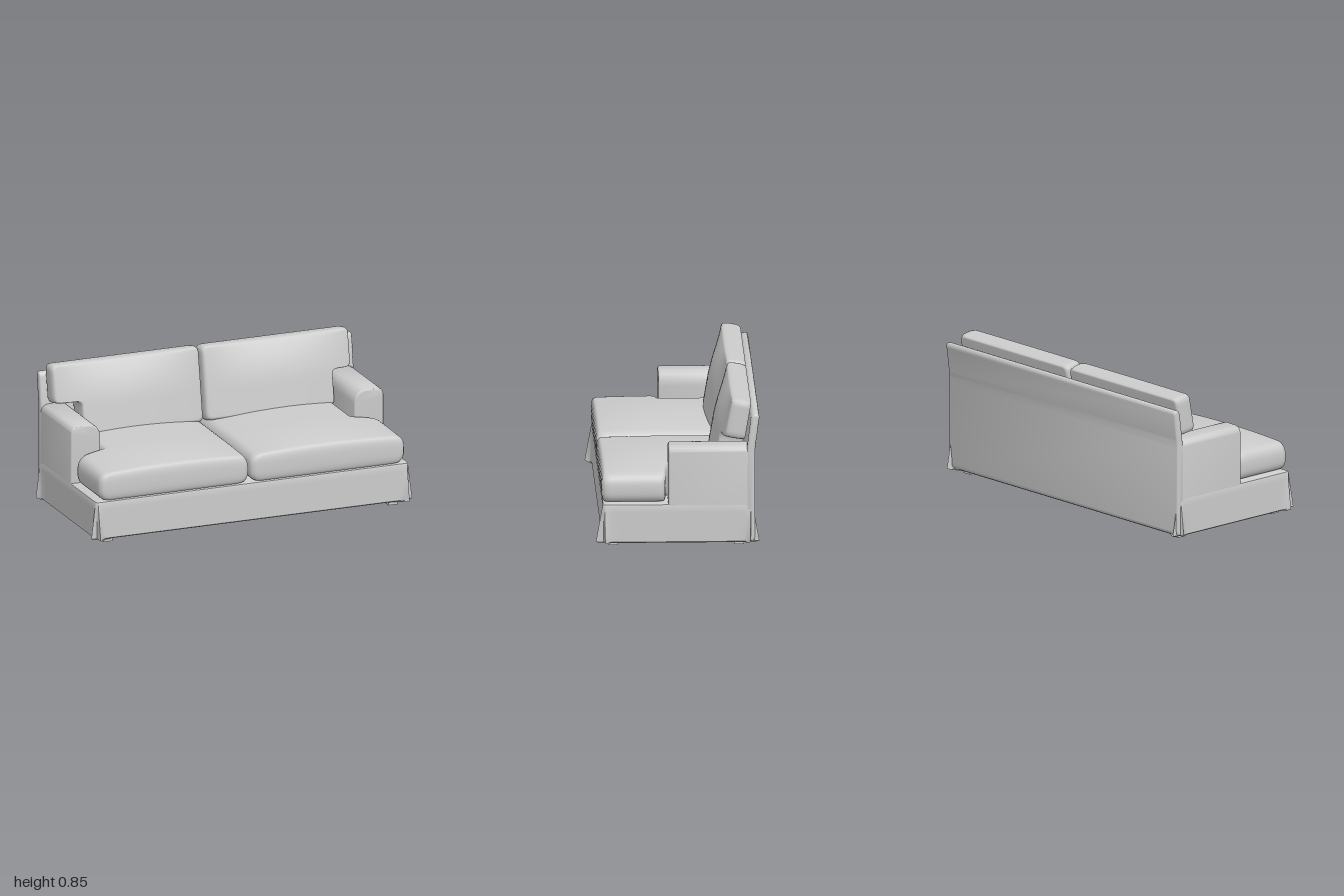
import * as THREE from 'three';
import { toCreasedNormals } from 'three/addons/utils/BufferGeometryUtils.js';

const material = new THREE.MeshStandardMaterial({ color: 0xcccccc });

function addMesh(parent, name, geometry) {
  const mesh = new THREE.Mesh(geometry, material);
  mesh.name = name;
  parent.add(mesh);
  return mesh;
}

// Skins a stack of closed rings (each counter-clockwise about the stacking axis)
function loft(rings) {
  const n = rings[0].length;
  const positions = [], index = [];
  rings.forEach(ring => ring.forEach(p => positions.push(p[0], p[1], p[2])));
  for (let i = 0; i < rings.length - 1; i++) {
    for (let j = 0; j < n; j++) {
      const k = (j + 1) % n;
      const a = i * n + j, b = i * n + k, c = b + n, d = a + n;
      index.push(a, b, c, a, c, d);
    }
  }
  const geometry = new THREE.BufferGeometry();
  geometry.setAttribute('position', new THREE.Float32BufferAttribute(positions, 3));
  geometry.setIndex(index);
  geometry.computeVertexNormals();
  return geometry;
}

// Polygon with softened corners
function roundedShape(points, radius) {
  const shape = new THREE.Shape();
  const pts = points.map(p => new THREE.Vector2(p[0], p[1]));
  pts.forEach((p, i) => {
    const prev = pts[(i + pts.length - 1) % pts.length];
    const next = pts[(i + 1) % pts.length];
    const toward = q => p.clone().add(q.clone().sub(p).setLength(Math.min(radius, p.distanceTo(q) * 0.45)));
    const a = toward(prev), b = toward(next);
    if (i === 0) shape.moveTo(a.x, a.y); else shape.lineTo(a.x, a.y);
    shape.quadraticCurveTo(p.x, p.y, b.x, b.y);
  });
  shape.closePath();
  return shape;
}

// Padded cushion: outline in (u, v), thickness along w, crowned on the top face
function cushion(corners, radius, side, centre, inset, low, top) {
  let outline = roundedShape(corners, radius).getSpacedPoints(140).slice(0, -1);
  if (side < 0) outline = outline.map(p => new THREE.Vector2(-p.x, p.y)).reverse();
  const [cu, cv] = [centre[0] * side, centre[1]];
  const rings = [];
  const ring = (su, sv, level) => rings.push(outline.map(p => {
    const u = cu + (p.x - cu) * su, v = cv + (p.y - cv) * sv;
    return [u, v, low + (top(Math.abs(u), v) - low) * level];
  }));
  ring(0, 0, 0);
  ring(0.5, 0.5, 0);
  const steps = 14;
  for (let i = 0; i <= steps; i++) {
    const phi = (i / steps - 0.5) * Math.PI;
    const bulge = Math.pow(Math.max(Math.cos(phi), 0), 0.75);
    const rise = Math.sign(phi) * Math.pow(Math.abs(Math.sin(phi)), 0.75);
    ring(1 - inset[0] * (1 - bulge), 1 - inset[1] * (1 - bulge), 0.5 + 0.5 * rise);
  }
  for (let i = 9; i >= 0; i--) ring((1 - inset[0]) * i / 10, (1 - inset[1]) * i / 10, 1);
  return loft(rings);
}

// Base with a skirt that flares into pinched pleats at the corners
function baseGeometry() {
  const quadrant = t => [
    [0.88, 0.432], [0.925, 0.432 + 0.003 * t], [0.945, 0.433 + 0.012 * t],
    [0.962, 0.433 + 0.038 * t], [0.966, 0.43 - 0.004 * t],
    [0.971 + 0.004 * t, 0.425 - 0.005 * t], [0.973 + 0.026 * t, 0.418],
    [0.974 + 0.007 * t, 0.4], [0.975, 0.38], [0.975, 0.33]];
  const ring = (y, t, scale = 1, shrink = 0) => {
    const q = quadrant(t), r = [...q].reverse();
    const place = (list, sx, sz) => list.map(([x, z]) =>
      [sx * (x - shrink) * scale, y, sz * (z - shrink) * scale]);
    return [...place(q, 1, 1), ...place(r, 1, -1), ...place(q, -1, -1), ...place(r, -1, 1)];
  };
  const rings = [ring(0.025, 0.9, 0), ring(0.025, 0.9, 1, 0.012), ring(0.033, 1)];
  for (let i = 1; i <= 6; i++) rings.push(ring(0.033 + 0.21 * i / 6, 1 - i / 6));
  rings.push(ring(0.252, 0, 1, 0.003), ring(0.256, 0, 1, 0.012), ring(0.256, 0, 0));
  return toCreasedNormals(loft(rings), 0.7);
}

// Extrusion with a soft bevel kept inside the given length
function softExtrude(shape, length, bevel) {
  const geometry = new THREE.ExtrudeGeometry(shape, {
    depth: length - 2 * bevel, bevelEnabled: true, bevelThickness: bevel,
    bevelSize: bevel, bevelOffset: -bevel, bevelSegments: 4, curveSegments: 10 });
  geometry.translate(0, 0, bevel - length / 2);
  return toCreasedNormals(geometry, 0.6);
}

export function createModel() {
  const sofa = new THREE.Group();
  sofa.name = 'sofa';

  addMesh(sofa, 'skirtedBase', baseGeometry());

  // Back panel, leaning out towards the top
  const backProfile = roundedShape([[0.446, 0.03], [0.446, 0.58], [0.474, 0.785],
    [0.424, 0.782], [0.395, 0.55], [0.39, 0.03]], 0.03);
  const back = softExtrude(backProfile, 1.95, 0.014);
  back.rotateY(Math.PI / 2);
  addMesh(sofa, 'backPanel', back);

  for (const side of [1, -1]) {
    const label = side > 0 ? 'left' : 'right';

    // Arm with a rolled inner top edge
    const arm = new THREE.Shape();
    arm.moveTo(-0.0925, 0.12);
    arm.lineTo(0.0925, 0.12);
    arm.lineTo(0.0925, 0.55);
    arm.quadraticCurveTo(0.0925, 0.594, 0.045, 0.597);
    arm.lineTo(-0.01, 0.599);
    arm.bezierCurveTo(-0.06, 0.598, -0.0925, 0.57, -0.0925, 0.51);
    arm.closePath();
    const armGeometry = softExtrude(arm, 0.486, 0.012);
    if (side < 0) armGeometry.rotateY(Math.PI);
    addMesh(sofa, label + 'Arm', armGeometry).position.set(side * 0.8815, 0, -0.19);

    // T-shaped seat cushion wrapping the front of the arm
    const inner = side > 0 ? -0.011 : 0.021;
    const seat = cushion(
      [[inner, -0.437], [0.951, -0.437], [0.951, -0.072], [0.786, -0.055], [0.786, 0.38], [inner, 0.38]],
      0.03, side, [0.47, -0.16], [0.13, 0.1], 0.255,
      (u, v) => 0.418 + 0.05 * Math.max(0, 1 - ((u - 0.47) / 0.48) ** 2)
        * (1 - 0.75 * Math.min(1, Math.max(0, (-v - 0.05) / 0.39)) ** 2));
    seat.rotateX(-Math.PI / 2);
    addMesh(sofa, label + 'SeatCushion', seat);

    // Leaning back cushion with a wing over the arm
    const outer = side > 0 ? 0.91 : 0.946;
    const mid = (inner + outer) / 2;
    const backCushion = cushion(
      [[inner, -0.2], [0.787, -0.2], [0.787, 0.012], [outer, 0.012], [outer, 0.242], [inner, 0.242]],
      0.03, side, [mid, 0.07], [0.05, 0.09], 0,
      (u, v) => 0.112 + 0.055 * Math.max(0, 1 - ((u - mid) / 0.47) ** 2)
        * (1 - Math.min(1, Math.max(0, (v + 0.02) / 0.26)) ** 2));
    const cushionMesh = addMesh(sofa, label + 'BackCushion', backCushion);
    cushionMesh.position.set(0, 0.6, -0.387);
    cushionMesh.rotation.x = -0.17;

    // Feet
    for (const [end, z] of [['Front', 0.37], ['Back', -0.356]]) {
      const foot = addMesh(sofa, label + end + 'Foot', new THREE.BoxGeometry(0.056, 0.03, 0.058));
      foot.position.set(side * 0.887, 0.015, z);
    }
  }
  return sofa;
}
